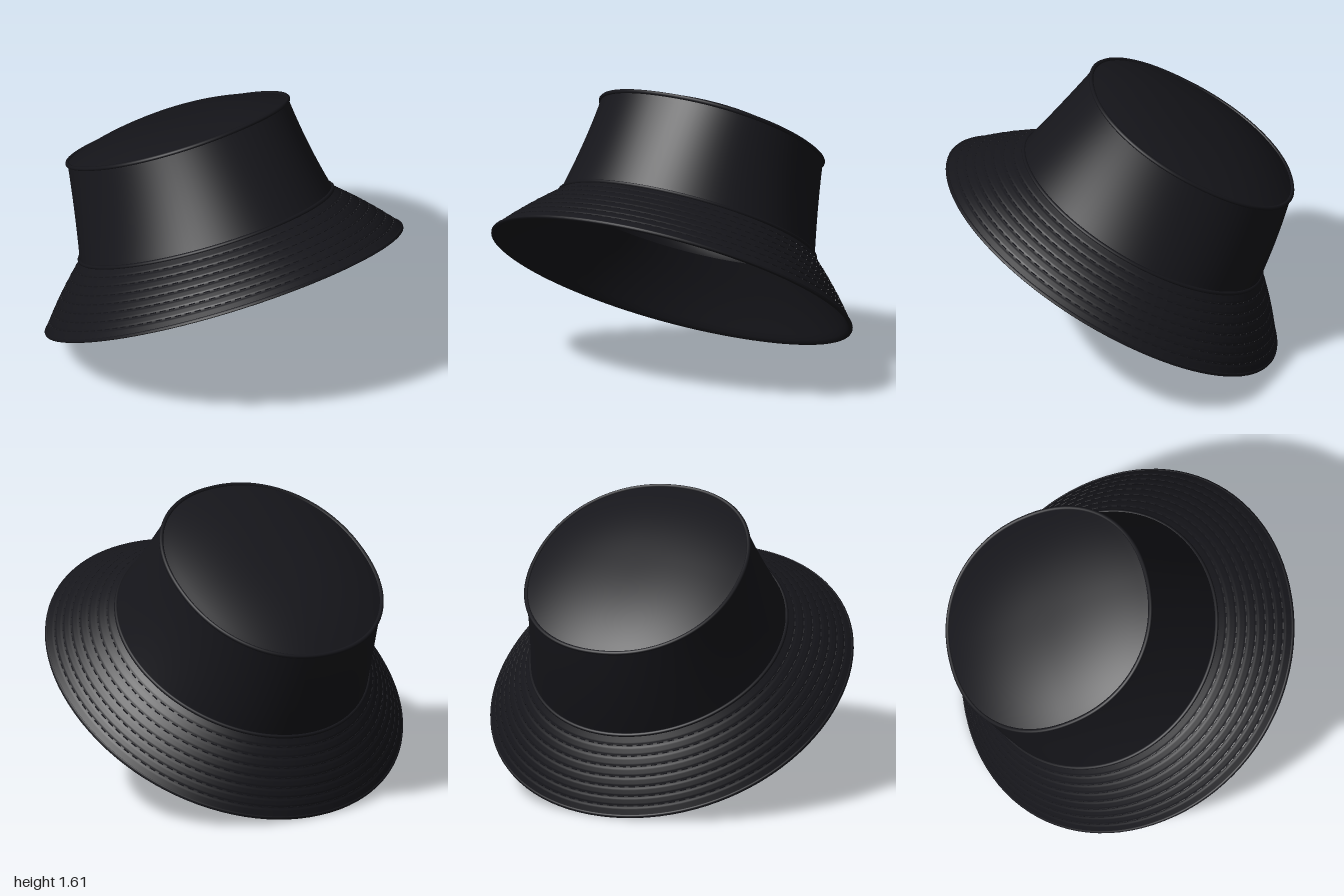
import * as THREE from 'three';
import { mergeGeometries } from 'three/addons/utils/BufferGeometryUtils.js';

const SEGS = 96;
// Tilted cross-sections: front [z, y], back [z, y], half width, roundness
const CROWN_TOP = { f: [0.155, 1.60], b: [-0.93, 0.945], w: 0.605, n: 2.15 };
const CROWN_MID = { f: [0.335, 1.39], b: [-0.855, 0.69], w: 0.642, n: 2.08 };
const CROWN_BASE = { f: [0.525, 1.175], b: [-0.762, 0.44], w: 0.705, n: 2 };
const BRIM_EDGE = { f: [0.935, 1.072], b: [-0.845, 0.012], w: 0.993, n: 2.04 };
const UP = new THREE.Vector3(0, 0.854, -0.52); // axis of the tilted hat

const mix = (a, b, t) => a + (b - a) * t;
const blend = (A, B, t) => ({
  f: A.f.map((v, i) => mix(v, B.f[i], t)),
  b: A.b.map((v, i) => mix(v, B.b[i], t)),
  w: mix(A.w, B.w, t),
  n: mix(A.n, B.n, t),
});

// Point on a section, pulled in by inset and raised along the hat axis by lift
function pointOn(S, a, inset = 0, lift = 0) {
  const round = (v) => Math.sign(v) * Math.pow(Math.abs(v), 2 / S.n);
  const k = 1 - inset / S.w;
  const s = round(Math.cos(a)) * k;
  const p = new THREE.Vector3(
    round(Math.sin(a)) * S.w * k,
    (S.f[1] + S.b[1]) / 2 + (s * (S.f[1] - S.b[1])) / 2,
    (S.f[0] + S.b[0]) / 2 + (s * (S.f[0] - S.b[0])) / 2
  );
  return p.addScaledVector(UP, lift);
}

// Skin a stack of [section, inset, lift] rings
function loft(rings) {
  const pos = [];
  const index = [];
  rings.forEach(([S, inset, lift], r) => {
    for (let i = 0; i < SEGS; i++) {
      pos.push(...pointOn(S, (i / SEGS) * Math.PI * 2, inset, lift).toArray());
      if (r === rings.length - 1) continue;
      const a = r * SEGS + i;
      const b = r * SEGS + ((i + 1) % SEGS);
      index.push(a, a + SEGS, b + SEGS, a, b + SEGS, b);
    }
  });
  const g = new THREE.BufferGeometry();
  g.setAttribute('position', new THREE.Float32BufferAttribute(pos, 3));
  g.setIndex(index);
  g.computeVertexNormals();
  return g;
}

// Round cord following a section
function cord(S, radius, inset = 0, lift = 0) {
  const pts = [];
  for (let i = 0; i < 64; i++) pts.push(pointOn(S, (i / 64) * Math.PI * 2, inset, lift));
  return new THREE.TubeGeometry(new THREE.CatmullRomCurve3(pts, true), 128, radius, 8, true);
}

// Shallow domed disc filling a section, from centre to rim
function dome(S, inset, height) {
  const rings = [];
  for (let i = 0; i <= 14; i++) {
    const r = 0.001 + 0.999 * (i / 14);
    rings.push([S, S.w - (S.w - inset) * r, height * (1 - Math.pow(r, 2.5))]);
  }
  return rings;
}

const wallAt = (t) => {
  // quadratic through the three crown sections, so the wall is gently waisted
  const q = (a, m, b) => a * (1 - t) * (1 - 2 * t) + m * 4 * t * (1 - t) + b * t * (2 * t - 1);
  const [A, M, B] = [CROWN_TOP, CROWN_MID, CROWN_BASE];
  return {
    f: A.f.map((v, i) => q(v, M.f[i], B.f[i])),
    b: A.b.map((v, i) => q(v, M.b[i], B.b[i])),
    w: q(A.w, M.w, B.w),
    n: q(A.n, M.n, B.n),
  };
};

export function createModel() {
  const hat = new THREE.Group();
  hat.name = 'bucketHat';
  const cloth = new THREE.MeshStandardMaterial({ color: 0x16161b });
  const add = (name, geometry) => {
    const mesh = new THREE.Mesh(geometry, cloth);
    mesh.name = name;
    hat.add(mesh);
  };

  // Crown: domed top panel, wall and seam cords
  add('crownTop', loft(dome(CROWN_TOP, 0, 0.1)));
  const wall = [];
  for (let i = 0; i <= 16; i++) wall.push([wallAt(i / 16), 0, 0]);
  add('crownWall', loft(wall));
  add('crownTopSeam', cord(CROWN_TOP, 0.012));
  add('crownBaseSeam', cord(CROWN_BASE, 0.011, 0, 0.004));

  // Lining inside the crown, facing inward
  const lining = [];
  for (let i = 16; i >= 0; i--) lining.push([wallAt(i / 16), 0.028, i === 0 ? -0.015 : 0]);
  add('liningWall', loft(lining));
  const liningTop = dome(CROWN_TOP, 0.028, 0.1).map(([S, d, l]) => [S, d, l - 0.015]);
  add('liningTop', loft(liningTop.reverse()));
  add('sweatband', loft([0, 1, 2, 3, 4].map((i) => [wallAt(1 - i * 0.055), i === 0 || i === 4 ? 0.028 : 0.036, 0])));
  hat.getObjectByName('sweatband').material = new THREE.MeshStandardMaterial({ color: 0x16161b, side: THREE.DoubleSide });

  // Brim: grooved upper face, rounded edge, plain underside
  const ROWS = 8;
  const brim = [];
  for (let i = 0; i <= ROWS * 6; i++) {
    const t = i / (ROWS * 6);
    const groove = i > 0 && i % 6 === 0 && i < ROWS * 6 ? 0.005 : 0;
    brim.push([blend(CROWN_BASE, BRIM_EDGE, t), groove - 0.012 * Math.sin(Math.PI * t), 0]);
  }
  brim.push([BRIM_EDGE, -0.006, -0.006], [BRIM_EDGE, -0.004, -0.013], [BRIM_EDGE, 0.008, -0.016]);
  for (let i = 12; i >= 0; i--) {
    const t = i / 12;
    brim.push([blend(CROWN_BASE, BRIM_EDGE, t), 0.028 - 0.012 * Math.sin(Math.PI * t), 0]);
  }
  add('brim', loft(brim));
  add('brimBinding', cord(BRIM_EDGE, 0.009, 0.004, -0.004));

  // Dashed stitching along the brim grooves
  const dashes = [];
  const aim = new THREE.Object3D();
  for (let row = 1; row < ROWS; row++) {
    const t = row / ROWS;
    const S = blend(CROWN_BASE, BRIM_EDGE, t);
    const count = Math.round(110 * S.w);
    const inset = 0.004 - 0.012 * Math.sin(Math.PI * t);
    for (let i = 0; i < count; i++) {
      const p = pointOn(S, (i / count) * Math.PI * 2, inset);
      const q = pointOn(S, ((i + 0.6) / count) * Math.PI * 2, inset);
      aim.position.copy(p).add(q).multiplyScalar(0.5);
      aim.lookAt(q);
      aim.updateMatrix();
      dashes.push(new THREE.BoxGeometry(0.006, 0.006, p.distanceTo(q)).applyMatrix4(aim.matrix));
    }
  }
  add('brimStitching', mergeGeometries(dashes));
  return hat;
}
